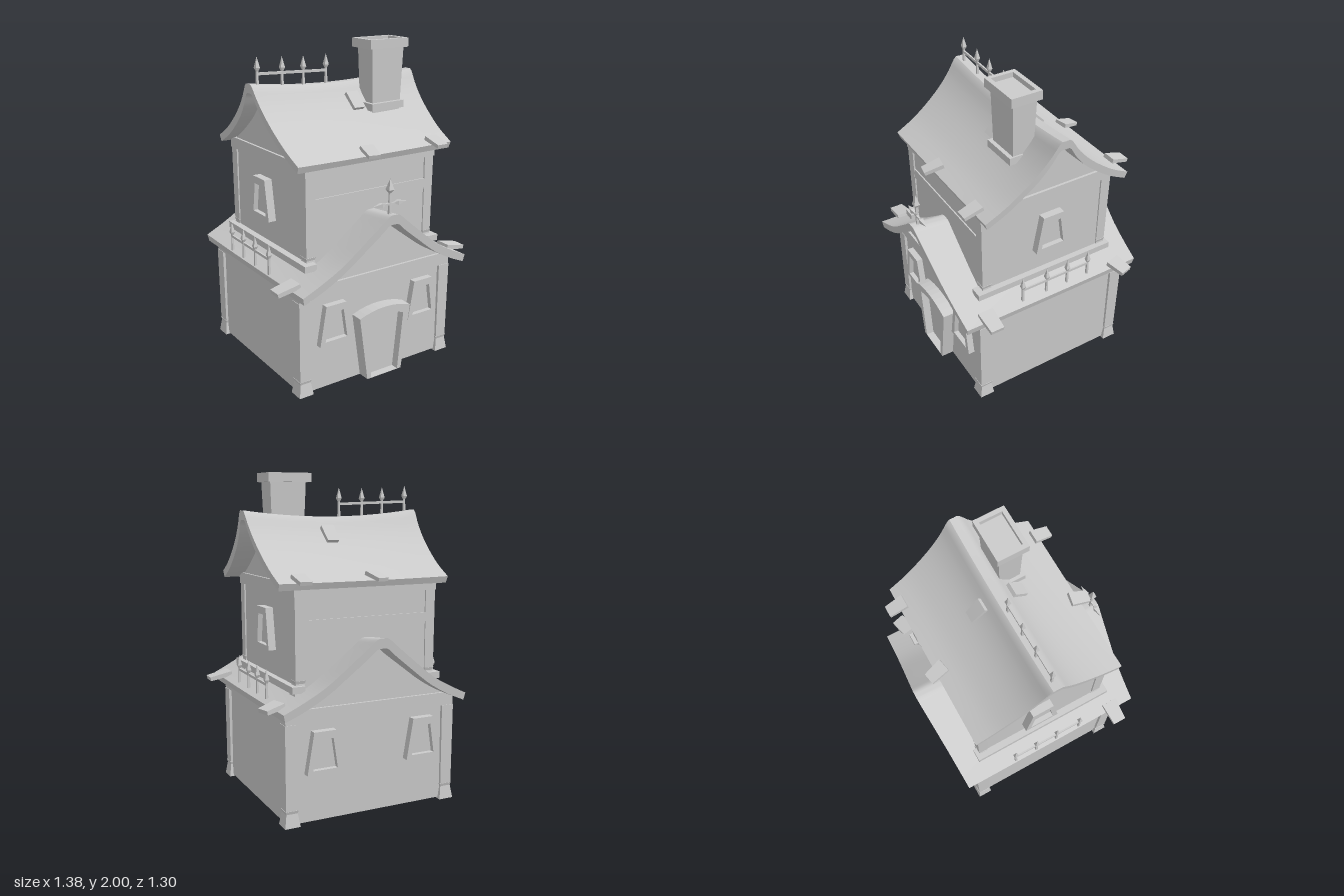
import * as THREE from 'three';
import { toCreasedNormals } from 'three/addons/utils/BufferGeometryUtils.js';

const mat = new THREE.MeshStandardMaterial({ color: 0xcccccc, flatShading: true, side: THREE.DoubleSide });
const smoothMat = new THREE.MeshStandardMaterial({ color: 0xcccccc, side: THREE.DoubleSide });

function add(parent, name, geo, x = 0, y = 0, z = 0, material = mat) {
  const m = new THREE.Mesh(geo, material);
  m.name = name;
  m.position.set(x, y, z);
  parent.add(m);
  return m;
}
function group(parent, name, x = 0, y = 0, z = 0, yaw = 0) {
  const g = new THREE.Group();
  g.name = name;
  g.position.set(x, y, z);
  g.rotation.y = yaw;
  parent.add(g);
  return g;
}
const box = (w, h, d) => new THREE.BoxGeometry(w, h, d);
const poly = pts => new THREE.Shape(pts.map(p => new THREE.Vector2(p[0], p[1])));
const extrude = (shape, depth, steps = 1) =>
  new THREE.ExtrudeGeometry(shape, { depth, steps, bevelEnabled: false, curveSegments: 8 });
// Square prism standing on y = 0, width w0 at the foot and w1 at the top
const taper = (w0, w1, h) =>
  new THREE.CylinderGeometry(w1 * Math.SQRT1_2, w0 * Math.SQRT1_2, h, 4).rotateY(Math.PI / 4).translate(0, h / 2, 0);
// Smooth curve through half-profile points
const smooth = (pts, n) =>
  new THREE.SplineCurve(pts.map(p => new THREE.Vector2(...p))).getPoints(n).map(v => [v.x, v.y]);
// Mirrors a ridge-to-eave half profile into a full left-to-right one
const mirror = half => [...half.slice(1).reverse().map(([x, y]) => [-x, y]), ...half];

// Sagging roof: the profile is swept along z, longer and lower-slung at the ridge
function roof(parent, o) {
  const outline = [...mirror(smooth(o.outer, 16)), ...mirror(smooth(o.inner, 16)).reverse()];
  const geo = extrude(poly(outline), 2, 14).translate(0, 0, -1);
  const p = geo.attributes.position;
  const top = o.outer[0][1], low = o.inner[o.inner.length - 1][1];
  for (let i = 0; i < p.count; i++) {
    const t = p.getZ(i), y = p.getY(i), k = (y - low) / (top - low);
    p.setY(i, y - o.sag * (1 - t * t) * k);
    p.setZ(i, t * (o.eaveLen + (o.ridgeLen - o.eaveLen) * k));
  }
  add(parent, 'roof', toCreasedNormals(geo, 0.5), 0, 0, o.roofShift, smoothMat);
}

// One storey: gable walls face local +z and -z
function storey(parent, name, o) {
  const g = group(parent, name, o.x, 0, o.z, o.yaw);
  const { hw, hd, y0, yb, beamH } = o;
  const gable = [[-hw, y0], [hw, y0], [hw, yb + 0.04], ...mirror(o.inner).reverse().filter(p => Math.abs(p[0]) < hw), [-hw, yb + 0.04]];
  for (const s of [-1, 1]) {
    add(g, 'gableWall', extrude(poly(gable), 0.03), 0, 0, s * (hd - 0.015) - 0.015);
    add(g, 'sideWall', box(0.03, yb + 0.03 - y0, hd * 2), s * (hw - 0.015), (y0 + yb + 0.03) / 2, 0);
    add(g, 'gableBeam', box(hw * 2 + 0.03, beamH, 0.05), 0, yb + beamH / 2, s * (hd - 0.01));
    add(g, 'eaveBeam', box(0.05, 0.045, hd * 2), s * (hw - 0.01), yb + 0.0225, 0);
    for (const t of [-1, 1]) {
      const c = group(g, 'cornerPost', s * (hw - 0.022), o.footY, t * (hd - 0.022));
      add(c, 'foot', taper(o.post + 0.015, o.post - 0.01, 0.08));
      add(c, 'collar', taper(o.post - 0.01, o.post, 0.018), 0, 0.08, 0);
      add(c, 'shaft', taper(o.post - 0.005, o.post, yb - o.footY - 0.098), 0, 0.098, 0);
    }
  }
  roof(g, o);
  return g;
}

// Window narrowing towards the top, facing local +z
function windowUnit(parent, x, y, z, yaw) {
  const g = group(parent, 'window', x, y, z, yaw);
  const frame = poly([[-0.113, 0], [0.113, 0], [0.07, 0.25], [-0.07, 0.25]]);
  const hole = [[-0.077, 0.025], [0.077, 0.025], [0.05, 0.205], [-0.05, 0.205]];
  frame.holes.push(poly(hole));
  add(g, 'windowFrame', extrude(frame, 0.05), 0, 0, -0.01);
  add(g, 'windowPane', extrude(poly(hole), 0.02), 0, 0, -0.01);
}

// Arched shape that widens upwards
function arch(b, t, y0, y, peak) {
  const s = new THREE.Shape();
  s.moveTo(-b, y0).lineTo(b, y0).lineTo(t, y).quadraticCurveTo(0, 2 * peak - y, -t, y).lineTo(-b, y0);
  return s;
}

// Square spike with a pointed head
const spike = (h, r = 0.019) => new THREE.LatheGeometry(
  [[0.011, 0], [0.008, h - 0.1], [0.008, h - 0.085], [r, h - 0.065], [0, h]].map(p => new THREE.Vector2(...p)), 4).rotateY(Math.PI / 4);

function fence(parent, name, feet, h, barH) {
  const g = group(parent, name);
  feet.forEach(f => add(g, 'fencePost', spike(h), ...f));
  const a = new THREE.Vector3(...feet[0]), b = new THREE.Vector3(...feet[feet.length - 1]);
  const bar = add(g, 'fenceRail', box(0.01, 0.016, a.distanceTo(b)));
  bar.position.copy(a).add(b).multiplyScalar(0.5).setY((a.y + b.y) / 2 + barH);
  bar.lookAt(b.x, b.y + barH, b.z);
}

// Loose shingle pointing outwards along its yaw
function shingle(parent, x, y, z, yaw, pitch, len = 0.12, w = 0.085) {
  const geo = taper(w, w * 0.85, len).scale(1, 1, 0.3).translate(0, -len / 2, 0).rotateX(Math.PI / 2);
  const m = add(parent, 'looseShingle', geo, x, y, z);
  m.rotation.set(pitch, yaw, 0, 'YXZ');
}

export function createModel() {
  const house = new THREE.Group();
  house.name = 'house';
  const PI = Math.PI;

  // Ground floor, ridge running front to back
  storey(house, 'lowerStorey', {
    x: 0.003, z: -0.015, yaw: 0, hw: 0.54, hd: 0.505, y0: 0.01, yb: 0.6, beamH: 0.08, footY: 0, post: 0.08,
    outer: [[0, 1.07], [0.035, 1.065], [0.09, 1.02], [0.2, 0.93], [0.34, 0.82], [0.47, 0.745], [0.595, 0.685]],
    inner: [[0, 1.01], [0.035, 1.005], [0.08, 0.965], [0.2, 0.87], [0.33, 0.77], [0.46, 0.695], [0.585, 0.64]],
    sag: 0.045, ridgeLen: 0.65, eaveLen: 0.607, roofShift: 0.015,
  });

  // Upper floor, ridge running side to side
  storey(house, 'upperStorey', {
    x: 0.003, z: -0.015, yaw: PI / 2, hw: 0.435, hd: 0.45, y0: 0.72, yb: 1.305, beamH: 0.07, footY: 0.73, post: 0.065,
    outer: [[0, 1.775], [0.035, 1.77], [0.09, 1.69], [0.16, 1.61], [0.25, 1.53], [0.36, 1.45], [0.48, 1.385]],
    inner: [[0, 1.72], [0.035, 1.715], [0.08, 1.645], [0.15, 1.56], [0.25, 1.475], [0.35, 1.405], [0.465, 1.345]],
    sag: 0.04, ridgeLen: 0.583, eaveLen: 0.543, roofShift: 0.02,
  });
  for (const s of [-1, 1]) {
    add(house, 'wallBeam', box(0.84, 0.07, 0.03), 0, 1.135, -0.015 + s * 0.428);
    add(house, 'upperSill', box(0.08, 0.04, 0.95), s * 0.45, 0.78, -0.005);
  }

  // Windows
  for (const s of [-1, 1]) {
    windowUnit(house, s * 0.325 + 0.01, 0.3, 0.49, 0);
    windowUnit(house, s * 0.325, 0.3, -0.525, PI);
    windowUnit(house, s * 0.46, 0.955, -0.035, s * PI / 2);
  }

  // Arched door
  const door = group(house, 'door', 0.013, 0, 0.48);
  const frame = arch(0.128, 0.188, 0.012, 0.43, 0.465);
  frame.holes.push(arch(0.1, 0.137, 0.014, 0.39, 0.42));
  add(door, 'doorFrame', extrude(frame, 0.09));
  add(door, 'doorPanel', extrude(arch(0.1, 0.137, 0.014, 0.39, 0.42), 0.04));

  // Chimney with a hollow cap
  const chimney = group(house, 'chimney', 0.28, 0, 0.115);
  add(chimney, 'chimneyShaft', taper(0.2, 0.235, 0.47).scale(1, 1, 0.64), 0.005, 1.5, 0);
  add(chimney, 'chimneyBase', box(0.24, 0.045, 0.18), 0, 1.597, 0.002).rotation.z = 0.02;
  const cap = poly([[-0.14, -0.097], [0.14, -0.097], [0.14, 0.097], [-0.14, 0.097]]);
  cap.holes.push(poly([[-0.113, -0.07], [0.113, -0.07], [0.113, 0.07], [-0.113, 0.07]]));
  add(chimney, 'chimneyCap', extrude(cap, 0.055).rotateX(-PI / 2), 0, 1.945, 0);

  // Iron fences on the ridge and along both lower eaves
  fence(house, 'ridgeFence', [[-0.5, 1.74, -0.015], [-0.335, 1.73, -0.015], [-0.19, 1.725, -0.015], [-0.03, 1.725, -0.015]], 0.188, 0.088);
  for (const x of [-0.577, 0.56])
    fence(house, 'eaveFence', [0.21, 0.04, -0.11, -0.262].map(z => [x, 0.68, z]), 0.192, 0.1);

  // Finial with two sideways arrows over the front gable
  const finial = group(house, 'finial', -0.003, 1.05, 0.605);
  add(finial, 'finialSpike', spike(0.225, 0.026));
  for (const s of [-1, 1]) add(finial, 'finialArrow', spike(0.122), 0, 0.075, 0).rotation.z = s * PI / 2;

  // Loose shingles
  shingle(house, 0.615, 0.697, 0.46, PI / 2, 0.2, 0.145, 0.1);
  shingle(house, -0.615, 0.697, 0.46, -PI / 2, 0.2, 0.145, 0.1);
  shingle(house, 0.615, 0.697, -0.475, 1.84, 0.2, 0.12, 0.1);
  shingle(house, 0.44, 1.405, 0.48, 0, 0.28);
  shingle(house, -0.04, 1.405, 0.465, -0.2, 0.28);
  shingle(house, 0.44, 1.405, -0.51, PI, 0.28);
  shingle(house, -0.04, 1.405, -0.49, PI + 0.2, 0.28);
  shingle(house, 0.095, 1.635, 0.118, 0, 0.78);
  shingle(house, 0.095, 1.635, -0.148, PI, 0.78);

  return house;
}
